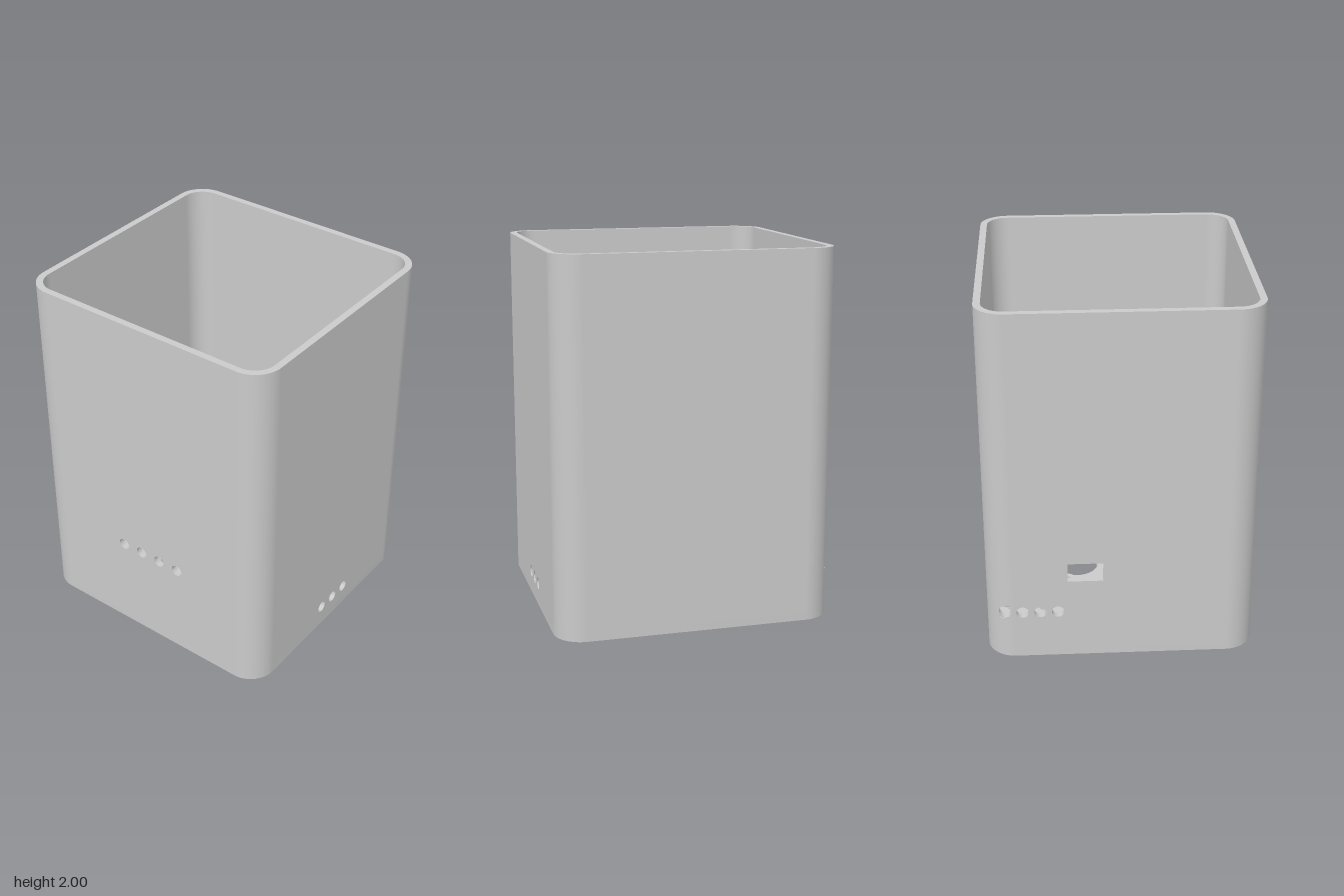
import * as THREE from 'three';
import { toCreasedNormals } from 'three/addons/utils/BufferGeometryUtils.js';

// Half width, half depth, height, wall thickness, corner radius, vent radius
const X = 0.753, Z = 0.724, H = 2, T = 0.037, R = 0.153, VENT = 0.033;

export function createModel() {
  const group = new THREE.Group();
  const grey = new THREE.MeshStandardMaterial({ color: 0xcacaca });
  grey.name = 'light grey';

  const add = (name, geometry) => {
    const mesh = new THREE.Mesh(toCreasedNormals(geometry, 0.6), grey);
    mesh.name = name;
    group.add(mesh);
  };
  const circle = (x, y, r, P = THREE.Path) => new P().absarc(x, y, r, 0, Math.PI * 2, false);
  const rect = (x0, y0, x1, y1, P = THREE.Path) =>
    new P([[x0, y0], [x1, y0], [x1, y1], [x0, y1]].map(p => new THREE.Vector2(...p)));
  const extrude = (shape, depth) =>
    new THREE.ExtrudeGeometry(shape, { depth, bevelEnabled: false, curveSegments: 16 });
  // Shape drawn in plan (x, z) and raised from y0 to y1
  const raise = (shape, y0, y1) => extrude(shape, y1 - y0).rotateX(Math.PI / 2).translate(0, y1, 0);

  // Floor with rounded corners, two large openings and a cable opening
  const corners = [[1, 1], [-1, 1], [-1, -1], [1, -1]].map(([sx, sz]) => [sx * (X - R), sz * (Z - R)]);
  const floor = new THREE.Shape();
  corners.forEach(([x, z], i) => floor.absarc(x, z, R, i * Math.PI / 2, (i + 1) * Math.PI / 2, false));
  floor.closePath();
  floor.holes.push(circle(0.092, -0.217, 0.124), circle(0.092, 0.121, 0.124), circle(0.43, 0.46, 0.064));
  add('floor', raise(floor, 0, T));

  // Flat walls, each turned to face outward
  const wall = (name, half, distance, angle, holes = []) => {
    const s = rect(-half, T, half, H, THREE.Shape);
    s.holes.push(...holes);
    add(name, extrude(s, T).translate(0, 0, distance - T).rotateY(angle));
  };
  const vents = (us, y) => us.map(u => circle(u, y, VENT));
  const ventY = 0.281;
  wall('frontWall', X - R, Z, 0, vents([-0.157, -0.034, 0.089, 0.212], 0.555));
  wall('backWall', X - R, Z, Math.PI);
  wall('leftWall', Z - R, X, Math.PI / 2, vents([-0.095, 0.014, 0.123], 0.125));
  wall('rightWall', Z - R, X, -Math.PI / 2,
    [...vents([-0.53, -0.435, -0.34], ventY), rect(-0.287, 0.47, -0.095, 0.578)]);

  // Rounded wall corners; outer arc a to b, inner arc a2 to b2
  const corner = ([x, z], y0, y1, a, b, a2 = a, b2 = b) => {
    const s = new THREE.Shape();
    s.absarc(x, z, R, a, b, false);
    s.absarc(x, z, R - T, b2, a2, true);
    s.closePath();
    add('wallCorner', raise(s, y0, y1));
  };
  const quarter = i => [i * Math.PI / 2, (i + 1) * Math.PI / 2];
  for (const i of [0, 1, 3]) corner(corners[i], T, H, ...quarter(i));

  // The back right corner is split around a panel that holds the last vent
  const [cx, cz] = corners[2], [a, b] = quarter(2);
  const z0 = -0.663, z1 = -0.587, y0 = ventY - 0.04, y1 = ventY + 0.04;
  const angleAt = (z, r) => Math.PI + Math.asin((cz - z) / r);
  corner(corners[2], T, y0, a, b);
  corner(corners[2], y1, H, a, b);
  corner(corners[2], y0, y1, a, angleAt(z1, R), a, angleAt(z1, R - T));
  corner(corners[2], y0, y1, angleAt(z0, R), b, angleAt(z0, R - T), b);
  const outline = [], steps = 6;
  for (let k = 0; k <= steps; k++) outline.push(new THREE.Vector2(z0 + (z1 - z0) * k / steps, y0));
  for (let k = steps; k >= 0; k--) outline.push(new THREE.Vector2(z0 + (z1 - z0) * k / steps, y1));
  const panelShape = new THREE.Shape(outline);
  panelShape.holes.push(circle(-0.625, ventY, VENT));
  const panel = extrude(panelShape, T);
  const p = panel.attributes.position;
  for (let j = 0; j < p.count; j++) {
    const r = p.getZ(j) > T / 2 ? R : R - T, z = p.getX(j);
    p.setXYZ(j, cx - Math.sqrt(r * r - (z - cz) ** 2), p.getY(j), z);
  }
  add('cornerVentPanel', panel);

  // Screw posts, one set for each mounted board
  const posts = [
    [0.085, [[0.615, -0.555], [0.275, -0.555], [0.615, -0.34], [0.275, -0.34]]],
    [0.085, [[0.245, -0.432], [-0.31, -0.432], [-0.31, -0.125], [0.245, -0.125]]],
    [0.08, [[-0.34, -0.402], [-0.617, -0.402], [-0.617, -0.187], [-0.34, -0.187]]],
    [0.08, [[0.305, -0.28], [-0.125, -0.28], [-0.125, 0.153], [0.305, 0.153]]],
    [0.08, [[-0.25, -0.25], [-0.617, -0.25], [-0.617, 0.06], [-0.25, 0.06]]],
    [0.08, [[-0.617, -0.063], [-0.403, -0.063], [-0.617, 0.12], [-0.403, 0.12]]],
    [0.08, [[-0.31, 0.275], [0.305, 0.275], [-0.31, 0.613], [0.305, 0.613]]],
  ];
  for (const [top, places] of posts) for (const [x, z] of places) {
    const s = circle(x, z, 0.047, THREE.Shape);
    s.holes.push(circle(x, z, 0.019));
    add('screwPost', raise(s, T, top));
  }

  // Collar round the cable opening
  const collar = circle(0.43, 0.46, 0.108, THREE.Shape);
  collar.holes.push(circle(0.43, 0.46, 0.064));
  add('cableCollar', raise(collar, T, 0.075));

  // Slotted holders
  for (const [x0, x1, z] of [[0.092, 0.277, -0.55], [-0.677, -0.527, -0.148], [-0.43, -0.248, 0.528], [0.122, 0.277, 0.528]]) {
    const s = rect(x0, z - 0.024, x1, z + 0.024, THREE.Shape);
    s.holes.push(rect(x0 + 0.02, z - 0.013, x1 - 0.02, z + 0.013));
    add('slottedHolder', raise(s, T, 0.08));
  }

  // Solid support bars
  add('supportBar', raise(rect(-0.31, 0.061, 0.03, 0.122, THREE.Shape), T, 0.108));
  add('supportBar', raise(rect(-0.677, -0.398, -0.461, -0.342, THREE.Shape), T, 0.079));
  return group;
}
